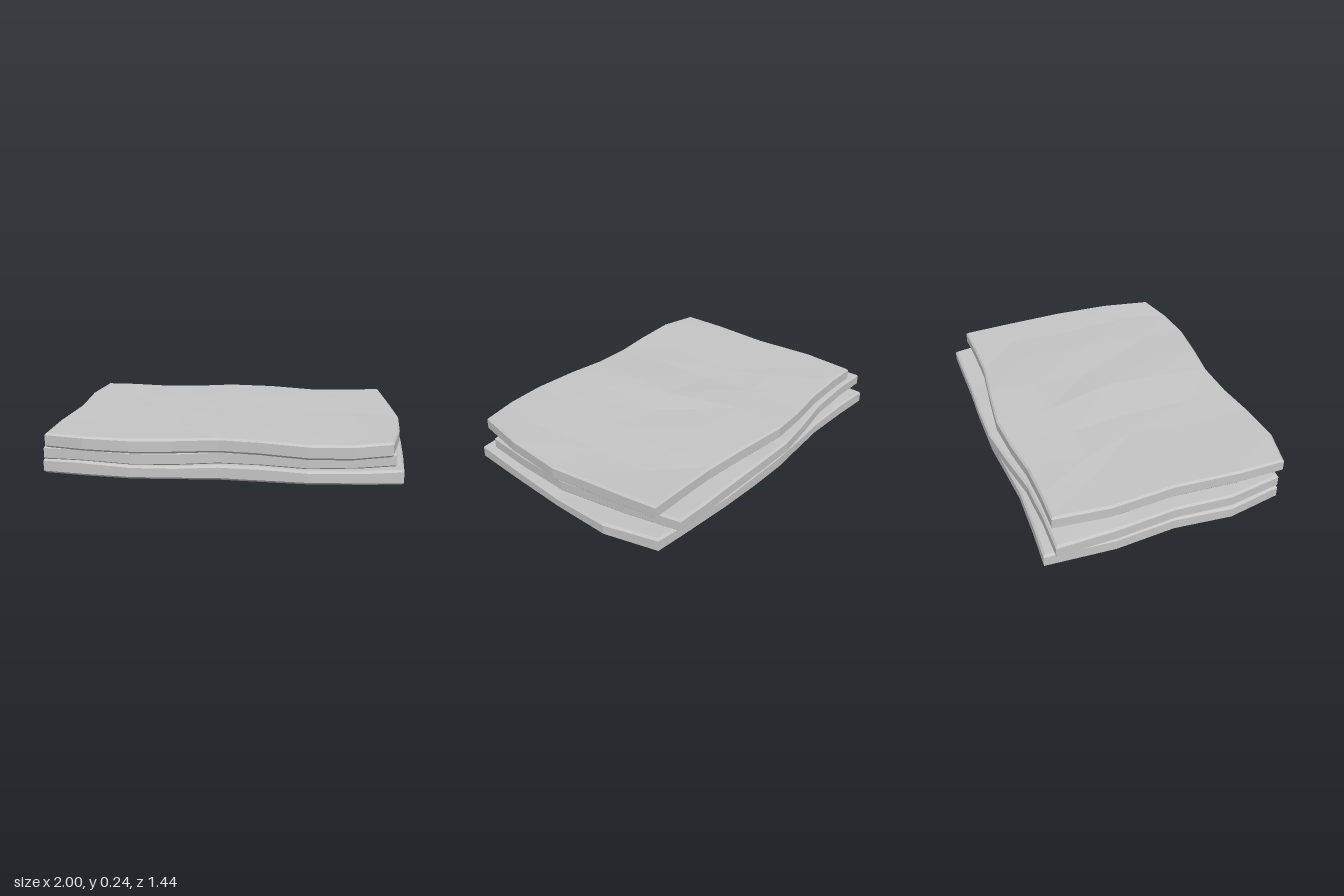
import * as THREE from 'three';

const COLUMNS = 8;
const ROWS = 4;
const BEVEL = 0.011;

// Outline points are [x, z]. Front and back run from -x to +x and include the corners;
// left and right hold the points between the corners, back to front.
const bottomOutline = {
  front: [[-0.955, 0.575], [-0.48, 0.65], [-0.03, 0.635], [0.43, 0.68], [0.91, 0.65]],
  back: [[-0.94, -0.715], [-0.45, -0.68], [-0.02, -0.7], [0.45, -0.675], [0.93, -0.62]],
  left: [[-0.975, -0.35], [-0.96, -0.03], [-1, 0.28]],
  right: [[0.998, -0.33], [0.98, 0], [0.945, 0.35]],
};
const middleOutline = {
  front: [[-0.95, 0.575], [-0.48, 0.63], [-0.03, 0.6], [0.43, 0.64], [0.88, 0.58]],
  back: [[-0.985, -0.665], [-0.52, -0.655], [-0.05, -0.72], [0.42, -0.695], [0.835, -0.68]],
  left: [[-0.985, -0.35], [-0.965, -0.03], [-0.99, 0.28]],
  right: [[0.89, -0.37], [0.93, 0.02], [0.91, 0.33]],
};
const topOutline = {
  front: [[-0.93, 0.61], [-0.72, 0.668], [-0.48, 0.67], [-0.25, 0.65], [-0.03, 0.645],
    [0.18, 0.68], [0.43, 0.718], [0.65, 0.71], [0.85, 0.665]],
  back: [[-0.875, -0.645], [-0.48, -0.635], [-0.05, -0.67], [0.48, -0.592], [0.905, -0.585]],
  left: [[-0.91, -0.35], [-0.895, 0], [-0.925, 0.35]],
  right: [[0.925, -0.33], [0.95, 0.05], [0.915, 0.38]],
};

function seeded(seed) {
  return () => {
    seed = (seed * 16807) % 2147483647;
    return seed / 2147483647;
  };
}

function edge(points, divisions) {
  return new THREE.SplineCurve(points.map(([x, z]) => new THREE.Vector2(x, z))).getPoints(divisions);
}

// Gentle waves along x, a tilt along z and a dip in the middle of the right side
function heightAt(x, z, level, tilt) {
  const dip = 0.02 * Math.max(0, 1 - Math.abs(z - 0.03) / 0.6) * Math.max(0, x) ** 2;
  return level + 0.006 * Math.cos(7 * (x - 0.1)) + tilt * z - dip;
}

function slabGeometry({ front, back, left, right }, level, tilt, under, random) {
  const frontEdge = edge(front, COLUMNS);
  const backEdge = edge(back, COLUMNS);
  const leftEdge = edge([back[0], ...left, front[0]], ROWS);
  const rightEdge = edge([back.at(-1), ...right, front.at(-1)], ROWS);

  // Grid blended from the four edges, with slight hewn bumps inside
  const grid = leftEdge.map((l, j) => frontEdge.map((f, i) => {
    const u = i / COLUMNS;
    const v = j / ROWS;
    const blend = (k) => (1 - v) * backEdge[i][k] + v * f[k] + (1 - u) * l[k] + u * rightEdge[j][k]
      - (1 - v) * ((1 - u) * backEdge[0][k] + u * backEdge[COLUMNS][k])
      - v * ((1 - u) * frontEdge[0][k] + u * frontEdge[COLUMNS][k]);
    const inside = i > 0 && i < COLUMNS && j > 0 && j < ROWS;
    const bump = (amount) => (inside ? (random() - 0.5) * amount : 0);
    const x = blend('x') + bump(0.1);
    const z = blend('y') + bump(0.14);
    return new THREE.Vector3(x, heightAt(x, z, level, tilt) + bump(0.016), z);
  }));

  const positions = [];
  const tri = (...points) => points.forEach((p) => positions.push(p.x, p.y, p.z));
  const quad = (a, b, c, d) => { tri(a, b, c); tri(a, c, d); };
  const inset = (p, y) => new THREE.Vector3(p.x * (1 - BEVEL), y, p.z * (1 - 1.4 * BEVEL));

  // Top and underside
  const top = grid.map((row) => row.map((p) => inset(p, p.y)));
  const bottom = grid.map((row) => row.map((p) => inset(p, under(p.y))));
  for (let j = 0; j < ROWS; j++) {
    for (let i = 0; i < COLUMNS; i++) {
      quad(top[j][i], top[j + 1][i], top[j + 1][i + 1], top[j][i + 1]);
      quad(bottom[j][i], bottom[j][i + 1], bottom[j + 1][i + 1], bottom[j + 1][i]);
    }
  }

  // Bevelled rim, walked anticlockwise from the front left corner
  const rim = [];
  for (let i = 0; i < COLUMNS; i++) rim.push(grid[ROWS][i]);
  for (let j = ROWS; j > 0; j--) rim.push(grid[j][COLUMNS]);
  for (let i = COLUMNS; i > 0; i--) rim.push(grid[0][i]);
  for (let j = 0; j < ROWS; j++) rim.push(grid[j][0]);
  const rings = [
    rim.map((p) => inset(p, under(p.y))),
    rim.map((p) => new THREE.Vector3(p.x, under(p.y) + BEVEL, p.z)),
    rim.map((p) => new THREE.Vector3(p.x, p.y - BEVEL, p.z)),
    rim.map((p) => inset(p, p.y)),
  ];
  for (let r = 0; r < rings.length - 1; r++) {
    for (let k = 0; k < rim.length; k++) {
      const n = (k + 1) % rim.length;
      quad(rings[r][k], rings[r][n], rings[r + 1][n], rings[r + 1][k]);
    }
  }

  // Unshared corners give flat facets
  const geometry = new THREE.BufferGeometry();
  geometry.setAttribute('position', new THREE.Float32BufferAttribute(positions, 3));
  geometry.computeVertexNormals();
  return geometry;
}

export function createModel() {
  const model = new THREE.Group();
  model.name = 'stackedStoneSlabs';
  const stone = new THREE.MeshStandardMaterial({ color: 0xc5c5c5 });
  stone.name = 'grey stone';
  const random = seeded(101);

  const addSlab = (name, outline, level, tilt, under) => {
    const mesh = new THREE.Mesh(slabGeometry(outline, level, tilt, under, random), stone);
    mesh.name = name;
    model.add(mesh);
  };

  // The lowest slab sits flat; the others are bent sheets of even thickness
  addSlab('bottomSlab', bottomOutline, 0.074, 0, () => 0);
  addSlab('middleSlab', middleOutline, 0.151, -0.014, (y) => y - 0.074);
  addSlab('topSlab', topOutline, 0.229, -0.011, (y) => y - 0.077);
  return model;
}
